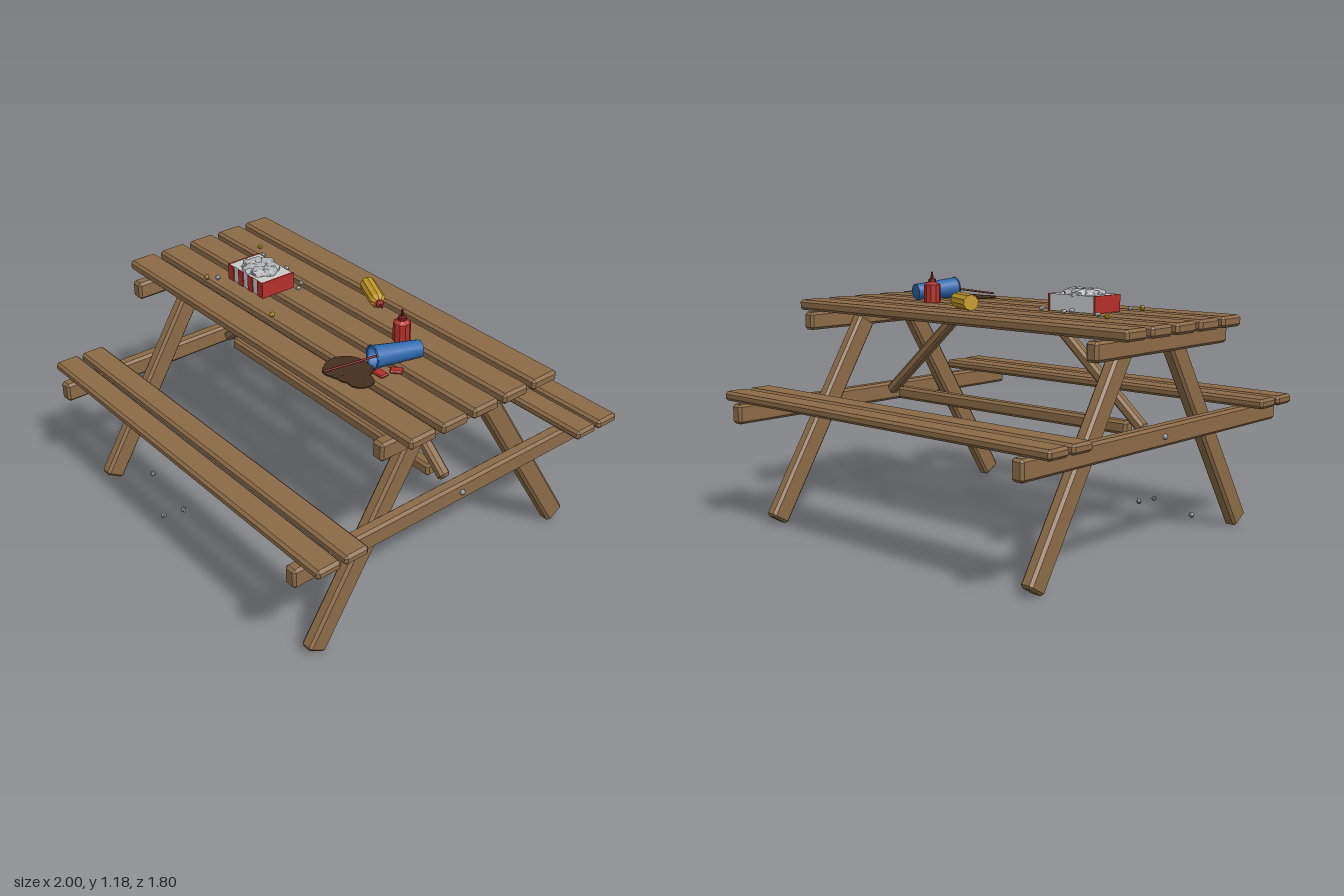
import * as THREE from 'three';
import { ConvexGeometry } from 'three/addons/geometries/ConvexGeometry.js';

const mat = (name, color, side = THREE.FrontSide) => {
  const m = new THREE.MeshStandardMaterial({ color, side });
  m.name = name;
  return m;
};

export function createModel() {
  const root = new THREE.Group();
  root.name = 'picnicTable';
  const wood = mat('wood', 0x8b6b47), red = mat('red', 0xb5302a), darkRed = mat('dark red', 0x7d1c1c);
  const white = mat('white', 0xc9cbcc), foil = mat('foil grey', 0xb0b3b6), stone = mat('stone grey', 0x8c9197);
  const yellow = mat('yellow', 0xc49a28), blue = mat('blue', 0x2f68ad, THREE.DoubleSide), cola = mat('brown', 0x463020);

  const add = (name, geo, material, x = 0, y = 0, z = 0) => {
    const m = new THREE.Mesh(geo, material);
    m.name = name;
    m.position.set(x, y, z);
    root.add(m);
    return m;
  };
  const flat = (geo) => {
    const g = geo.index ? geo.toNonIndexed() : geo;
    g.computeVertexNormals();
    return g;
  };
  // Box with all twelve edges chamfered
  const chamferBox = (w, h, d, c = 0.012) => {
    const pts = [], s = [w / 2, h / 2, d / 2];
    for (const i of [-1, 1]) for (const j of [-1, 1]) for (const k of [-1, 1]) {
      for (let axis = 0; axis < 3; axis++) {
        const p = [i, j, k].map((sign, n) => sign * (n === axis ? s[n] : s[n] - c));
        pts.push(new THREE.Vector3(...p));
      }
    }
    return new ConvexGeometry(pts);
  };
  // Turn a mesh so its y axis runs from a to b, centred between them
  const UP = new THREE.Vector3(0, 1, 0);
  const aim = (mesh, a, b) => {
    mesh.position.copy(a).add(b).multiplyScalar(0.5);
    mesh.quaternion.setFromUnitVectors(UP, b.clone().sub(a).normalize());
    return mesh;
  };
  const V = (x, y, z) => new THREE.Vector3(x, y, z);
  const beam = (name, a, b, w, d) => aim(add(name, chamferBox(w, a.distanceTo(b), d), wood), a, b);

  // Tabletop and benches
  for (let i = -2; i <= 2; i++) add('tabletopPlank', chamferBox(2, 0.05, 0.14), wood, 0, 1.015, i * 0.17);
  for (const s of [-1, 1]) {
    for (const z of [0.667, 0.806]) add('benchPlank', chamferBox(2, 0.044, 0.12), wood, 0, 0.618, s * z);
  }

  // End frames: cross beams, splayed legs, braces and bolts
  for (const s of [-1, 1]) {
    add('seatBeam', chamferBox(0.062, 0.092, 1.8), wood, s * 0.866, 0.55, 0);
    add('topBeam', chamferBox(0.062, 0.085, 0.93), wood, s * 0.866, 0.948, 0);
    for (const f of [-1, 1]) beam('leg', V(s * 0.8, 0.03, f * 0.735), V(s * 0.8, 0.945, f * 0.165), 0.062, 0.1);
    beam('brace', V(s * 0.79, 0.565, 0), V(s * 0.322, 0.972, 0), 0.05, 0.052);
    add('bolt', new THREE.SphereGeometry(0.013, 10, 8), stone, s * 0.898, 0.55, 0);
  }
  add('stretcher', chamferBox(1.43, 0.06, 0.06), wood, 0, 0.565, 0);

  // Food tray with striped front and red ends
  add('trayBox', new THREE.BoxGeometry(0.25, 0.075, 0.17), white, -0.405, 1.08, 0.065);
  for (let i = 0; i < 7; i += 2) {
    add('trayStripe', new THREE.BoxGeometry(0.036, 0.075, 0.006), red, -0.405 + (i - 3) * 0.0365, 1.08, 0.152);
  }
  for (const s of [-1, 1]) {
    add('trayEnd', new THREE.BoxGeometry(0.008, 0.077, 0.18), red, -0.405 + s * 0.128, 1.08, 0.065);
  }

  // Rough lumps: icosahedra with seeded bumps
  let seed = 7;
  const rand = () => (seed = (seed * 16807) % 2147483647) / 2147483647;
  const lump = (r, detail = 0) => {
    const g = new THREE.IcosahedronGeometry(r, detail), p = g.attributes.position, v = new THREE.Vector3();
    const phase = rand() * 6;
    for (let i = 0; i < p.count; i++) {
      v.fromBufferAttribute(p, i);
      v.multiplyScalar(1 + 0.18 * Math.sin(v.x / r * 5 + phase) * Math.cos(v.z / r * 4 + v.y / r * 3 + phase));
      p.setXYZ(i, v.x, v.y, v.z);
    }
    return flat(g);
  };
  for (let i = 0; i < 8; i++) {
    const a = i * Math.PI * 2 / 7, d = i === 7 ? 0 : 1;
    const m = add('crumpledFoil', lump(0.042, 1), foil, -0.405 + d * 0.058 * Math.cos(a), 1.117 + rand() * 0.004, 0.065 + d * 0.048 * Math.sin(a));
    m.scale.y = 0.6;
    m.rotation.y = rand() * 6;
  }

  // Crumbs on the table and stones on the ground
  const scatter = (name, material, r, y, spots) => spots.forEach(([x, z]) => {
    add(name, lump(r), material, x, y, z).rotation.y = rand() * 6;
  });
  scatter('crumb', yellow, 0.014, 1.053, [[-0.7, -0.15], [-0.595, 0.24], [-0.11, 0.225]]);
  scatter('foilScrap', foil, 0.013, 1.052, [[-0.62, -0.11], [-0.435, -0.11], [-0.435, -0.055], [-0.27, -0.065], [-0.24, -0.025], [-0.56, 0.2]]);
  scatter('stone', stone, 0.015, 0.05, [[-0.65, 0.59], [-0.31, 0.635], [-0.33, 0.735]]);

  // Ribbed squeeze bottles, standing and lying
  const lathe = (profile, sides, rib = 1) => {
    const g = new THREE.LatheGeometry(profile.map(([x, y]) => new THREE.Vector2(x, y)), sides);
    const p = g.attributes.position, n = profile.length;
    for (let i = 0; i < p.count; i++) {
      const k = Math.floor(i / n) % 2 ? rib : 1;
      p.setX(i, p.getX(i) * k);
      p.setZ(i, p.getZ(i) * k);
    }
    return flat(g);
  };
  const bottle = (name, r, h, bodyMat, tipMat) => {
    const g = new THREE.Group();
    g.name = name;
    const body = new THREE.Mesh(lathe([[0, 0], [r, 0], [r, h * 0.88], [r * 0.55, h], [0, h]], 20, 0.9), bodyMat);
    const cap = new THREE.Mesh(lathe([[0, h], [r * 0.5, h], [r * 0.45, h + 0.014], [r * 0.2, h + 0.018], [r * 0.1, h + 0.048], [0, h + 0.048]], 10), tipMat);
    body.name = name + 'Body';
    cap.name = name + 'Cap';
    g.add(body, cap);
    root.add(g);
    return g;
  };
  bottle('redBottle', 0.039, 0.098, red, darkRed).position.set(0.4, 1.04, -0.085);
  const lying = bottle('yellowBottle', 0.037, 0.192, yellow, red);
  lying.position.set(-0.03, 1.077, -0.265);
  lying.quaternion.setFromUnitVectors(UP, V(0.215, 0, 0.1).normalize());

  // Tipped cup, straw, spill and sauce packets
  const base = V(0.555, 1.08, -0.045), mouth = V(0.5, 1.092, 0.17), len = base.distanceTo(mouth);
  const cup = new THREE.CylinderGeometry(0.05, 0.038, len, 16, 1, true);
  aim(add('cup', cup, blue), base, mouth);
  const bottom = add('cupBottom', new THREE.CircleGeometry(0.038, 16), blue);
  bottom.position.copy(base);
  bottom.quaternion.setFromUnitVectors(V(0, 0, 1), base.clone().sub(mouth).normalize());
  const lip = add('cupLip', new THREE.TorusGeometry(0.05, 0.004, 6, 16), blue);
  lip.position.copy(mouth);
  lip.quaternion.setFromUnitVectors(V(0, 0, 1), mouth.clone().sub(base).normalize());
  const s0 = V(0.415, 1.056, 0.36), s1 = V(0.525, 1.1, 0.09);
  aim(add('straw', new THREE.CylinderGeometry(0.005, 0.005, s0.distanceTo(s1), 8), darkRed), s0, s1);

  [[0.435, 0.255, 0.095], [0.475, 0.22, 0.065], [0.55, 0.275, 0.056], [0.49, 0.275, 0.065], [0.42, 0.3, 0.056]].forEach(([x, z, r], i) => {
    add('spill', new THREE.CylinderGeometry(r, r, 0.005 + i * 0.0003, 24), cola, x, 1.0425, z);
  });
  add('saucePacket', chamferBox(0.062, 0.014, 0.044, 0.005), red, 0.565, 1.049, 0.182);
  add('saucePacket', chamferBox(0.056, 0.014, 0.042, 0.005), red, 0.59, 1.049, 0.115).rotation.y = 0.75;

  return root;
}
